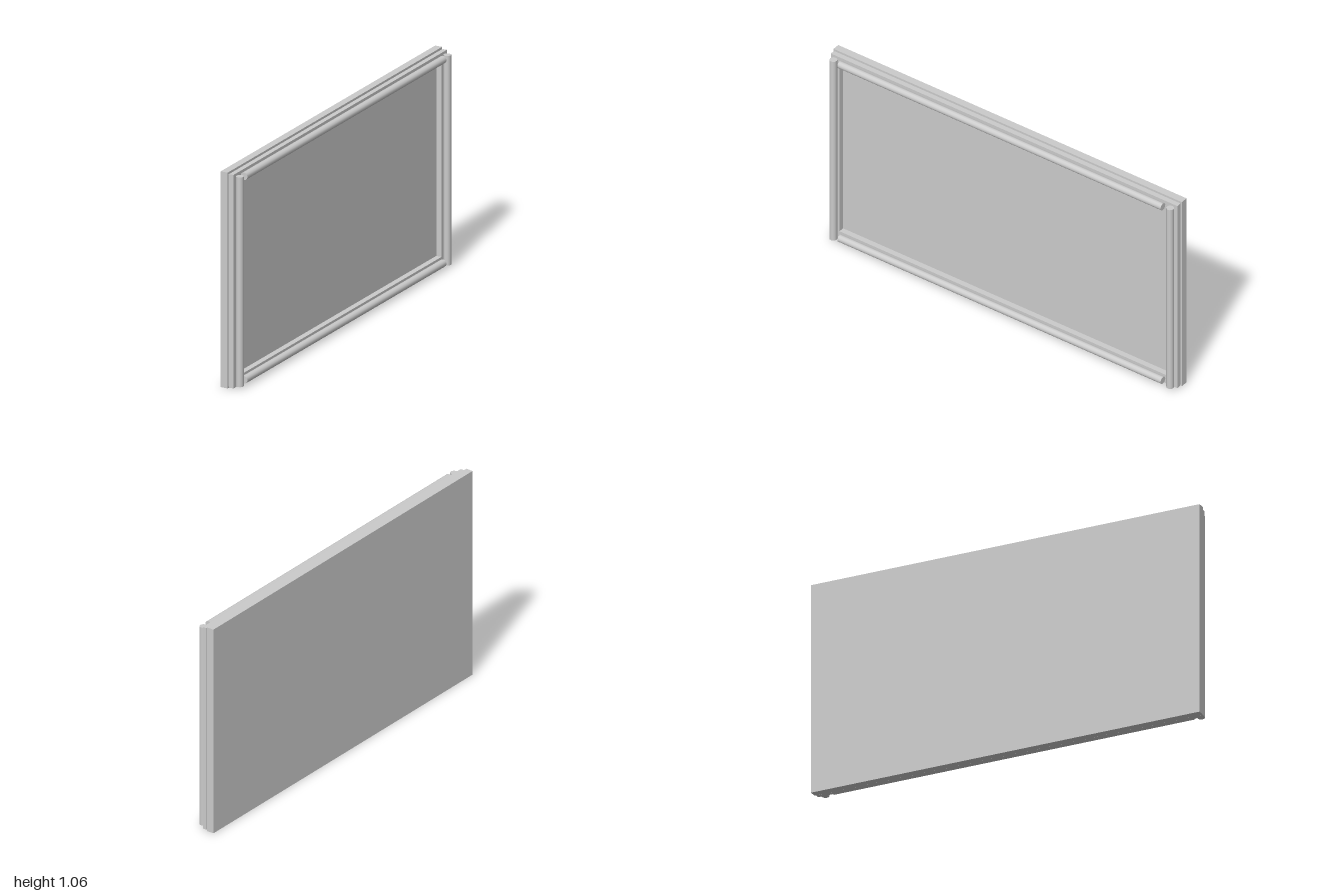
import * as THREE from 'three';

export function createModel() {
  const model = new THREE.Group();
  const grey = new THREE.MeshStandardMaterial({ color: 0xcccccc });

  const add = (name, geometry, x, y, z) => {
    const mesh = new THREE.Mesh(geometry, grey);
    mesh.name = name;
    mesh.position.set(x, y, z);
    model.add(mesh);
    return mesh;
  };

  // Box given by its lower and upper corners
  const box = (name, [x0, y0, z0], [x1, y1, z1]) =>
    add(name, new THREE.BoxGeometry(x1 - x0, y1 - y0, z1 - z0),
      (x0 + x1) / 2, (y0 + y1) / 2, (z0 + z1) / 2);

  // Backing board, with a shallow recessed lip towards the frame
  box('backPanel', [-0.053, 0, -1], [-0.016, 1.057, 1]);

  // Rectangular frame on the board: a shape in (z, y) with an opening
  const rect = (path, a, b, c, d) =>
    path.moveTo(a, c).lineTo(b, c).lineTo(b, d).lineTo(a, d).closePath();
  const frame = (name, x, depth, edge) => {
    const shape = rect(new THREE.Shape(), -0.995 + edge, 0.995 - edge, 0.003 + edge, 1.049 - edge);
    shape.holes.push(rect(new THREE.Path(), -0.945, 0.945, 0.05, 1.0));
    const geometry = new THREE.ExtrudeGeometry(shape, { depth, bevelEnabled: false });
    geometry.rotateY(Math.PI / 2);
    add(name, geometry, x, 0, 0);
  };
  frame('frameSeam', -0.017, 0.008, 0.003);
  frame('frame', -0.01, 0.022, 0);

  // Round rods standing just in front of the frame
  const radius = 0.0185;
  const rod = (length) => new THREE.CylinderGeometry(radius, radius, length, 12);
  for (const [side, z] of [['Front', 0.967], ['Back', -0.967]]) {
    add('uprightRod' + side, rod(1.027), 0.03, 0.5235, z);
  }
  for (const [level, y] of [['Top', 1.026], ['Bottom', 0.029]]) {
    add('crossRod' + level, rod(1.856), 0.031, y, 0.002).rotation.x = Math.PI / 2;
  }

  return model;
}
